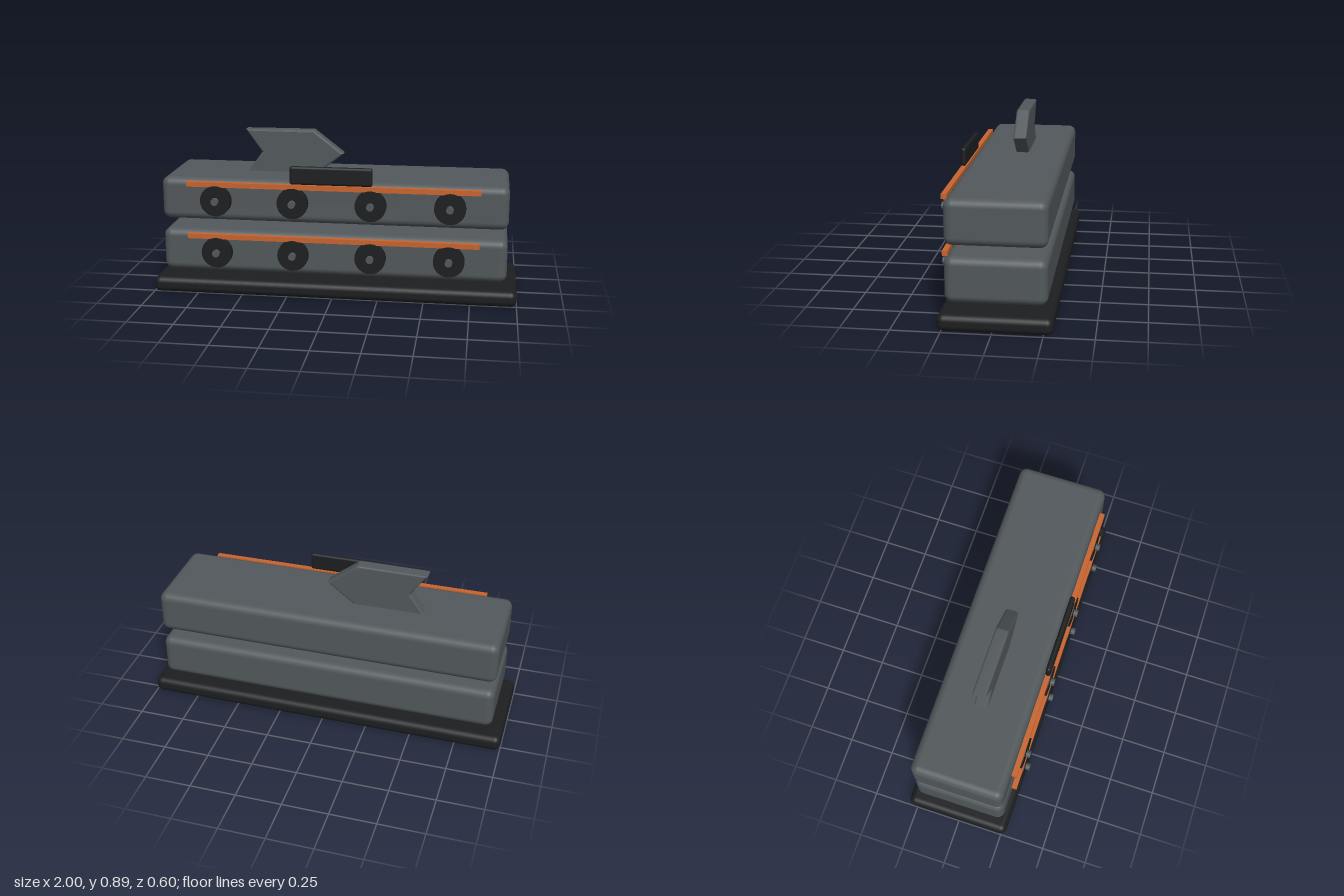
import * as THREE from 'three';
import { RoundedBoxGeometry } from 'three/addons/geometries/RoundedBoxGeometry.js';

const grey = new THREE.MeshStandardMaterial({ color: 0x52585b });
const black = new THREE.MeshStandardMaterial({ color: 0x1c1e20 });
const orange = new THREE.MeshStandardMaterial({ color: 0xc8642f });

function addMesh(parent, name, geometry, material, x, y, z) {
  const mesh = new THREE.Mesh(geometry, material);
  mesh.name = name;
  mesh.position.set(x, y, z);
  parent.add(mesh);
  return mesh;
}

// Cylinder lying along z
function disc(radius, depth, segments) {
  return new THREE.CylinderGeometry(radius, radius, depth, segments).rotateX(Math.PI / 2);
}

// One storage block with its trim strip and four front knobs; y is its underside
function createTier(name, y) {
  const tier = new THREE.Group();
  tier.name = name;
  tier.position.y = y;
  addMesh(tier, 'body', new RoundedBoxGeometry(1.884, 0.235, 0.508, 5, 0.042), grey, 0, 0.1175, -0.011);
  addMesh(tier, 'trimStrip', new THREE.BoxGeometry(1.586, 0.027, 0.028), orange, 0, 0.208, 0.261);
  for (let i = 0; i < 4; i++) {
    const x = (i - 1.5) * 0.422;
    addMesh(tier, 'knobDisc', disc(0.084, 0.034, 32), black, x, 0.118, 0.261);
    addMesh(tier, 'knobHub', disc(0.02, 0.04, 20), grey, x, 0.118, 0.281);
  }
  return tier;
}

// Arrow-shaped fin with softened edges, sunk slightly into the top block
function createFin() {
  const outline = [
    [-0.515, 0.632], [-0.133, 0.632], [0.032, 0.76],
    [-0.133, 0.888], [-0.515, 0.886], [-0.425, 0.76],
  ].map(([x, y]) => new THREE.Vector2(x, y));
  const bevel = 0.012;
  return new THREE.ExtrudeGeometry(new THREE.Shape(outline), {
    depth: 0.073 - 2 * bevel,
    bevelSize: bevel,
    bevelThickness: bevel,
    bevelOffset: -bevel,
    bevelSegments: 3,
  });
}

export function createModel() {
  const model = new THREE.Group();
  model.name = 'model';

  addMesh(model, 'base', new RoundedBoxGeometry(2, 0.087, 0.572, 5, 0.035), black, 0, 0.0435, -0.012);
  model.add(createTier('lowerTier', 0.126));
  model.add(createTier('upperTier', 0.417));

  // Plate standing on the upper strip
  addMesh(model, 'frontPlate', new RoundedBoxGeometry(0.446, 0.1, 0.028, 4, 0.0138), black, -0.002, 0.69, 0.261);
  addMesh(model, 'fin', createFin(), grey, 0, 0, -0.045);

  return model;
}
